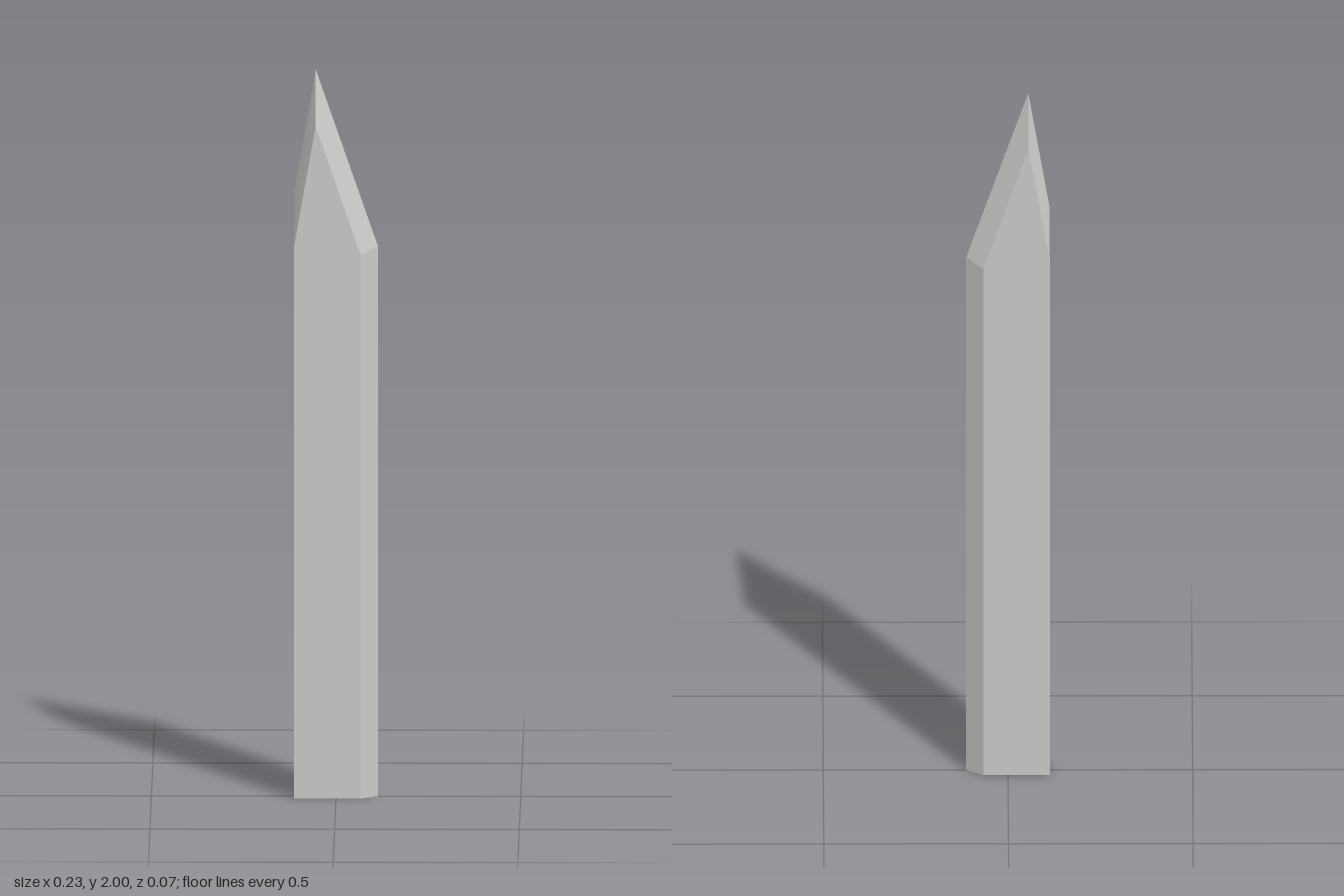
import * as THREE from 'three';

const T = 0.035; // half thickness

// Corners of the front half of the blade
const P = {
  spineBase: [-0.113, 0, 0],
  spineFrontBase: [-0.113, 0, T],
  shoulderBase: [0.067, 0, T],
  edgeBase: [0.113, 0, 0],
  spineTop: [-0.113, 1.66, 0],
  spineFrontTop: [-0.113, 1.52, T],
  shoulderTop: [0.067, 1.495, T],
  edgeTop: [0.113, 1.515, 0],
  ridge: [-0.055, 1.85, T],
  tip: [-0.055, 2, 0],
};

// Flat faces of the front half, counter-clockwise from outside
const FACES = [
  ['spineFrontBase', 'shoulderBase', 'shoulderTop', 'ridge', 'spineFrontTop'], // broad side
  ['shoulderBase', 'edgeBase', 'edgeTop', 'shoulderTop'], // cutting bevel
  ['shoulderTop', 'edgeTop', 'tip', 'ridge'], // long tip bevel
  ['spineFrontTop', 'ridge', 'tip', 'spineTop'], // short tip bevel
  ['spineBase', 'spineFrontBase', 'spineFrontTop', 'spineTop'], // flat spine
  ['spineFrontBase', 'spineBase', 'edgeBase', 'shoulderBase'], // base
];

export function createModel() {
  const positions = [];
  for (const side of [1, -1]) {
    for (const face of FACES) {
      // The back half is the mirrored front half with reversed corner order
      const corners = face.map((name) => [P[name][0], P[name][1], P[name][2] * side]);
      if (side < 0) corners.reverse();
      for (let i = 1; i < corners.length - 1; i++) {
        positions.push(...corners[0], ...corners[i], ...corners[i + 1]);
      }
    }
  }
  const geometry = new THREE.BufferGeometry();
  geometry.setAttribute('position', new THREE.Float32BufferAttribute(positions, 3));
  geometry.computeVertexNormals();

  const blade = new THREE.Mesh(
    geometry,
    new THREE.MeshStandardMaterial({ color: 0xcccccc, flatShading: true })
  );
  blade.name = 'blade';

  const group = new THREE.Group();
  group.name = 'bladeModel';
  group.add(blade);
  return group;
}
